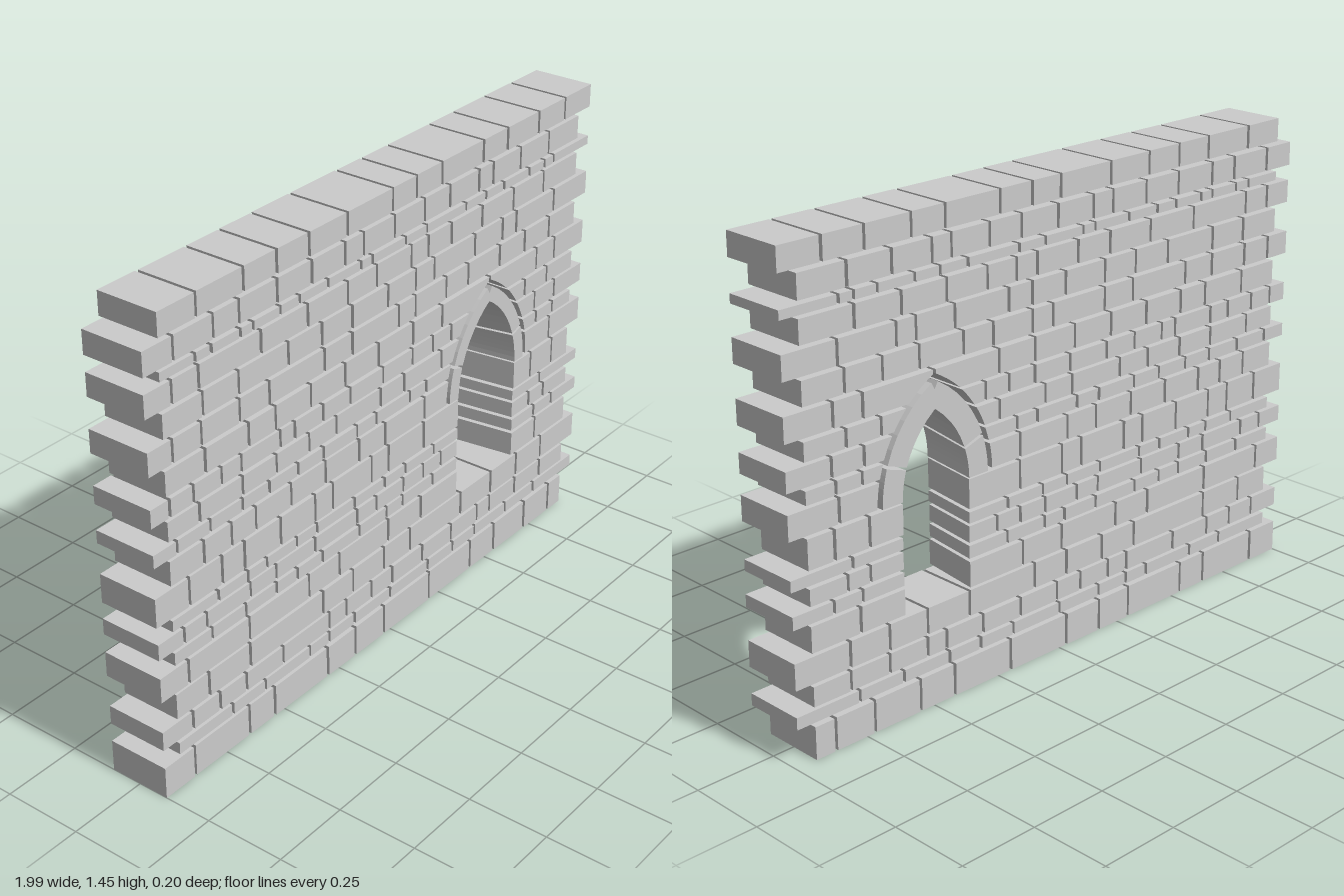
import * as THREE from 'three';

const material = new THREE.MeshStandardMaterial({ color: 0xcccccc, flatShading: true, side: THREE.DoubleSide });
const DEPTH = 0.2, GAP = 0.01;

// Pointed window: each half is an arc whose centre lies beyond the middle line
const WINDOW = { x: 0.48, sill: 0.315, spring: 0.655, top: 1.01, offset: 0.168 };
const R_OUTER = 0.361, R_CUT = 0.378;
const innerRadius = z => THREE.MathUtils.lerp(0.29, 0.316, z / DEPTH + 0.5); // reveal splays to the front

// Half width of the hole left in the stonework
function holeHalfWidth(y, z) {
  if (y < WINDOW.spring) return innerRadius(z) - WINDOW.offset;
  const dy = y - WINDOW.spring;
  return Math.max(0.004, Math.sqrt(Math.max(0, R_CUT ** 2 - dy ** 2)) - WINDOW.offset);
}

// Box whose vertices are moved by a rule
function shapedBox(name, w, h, d, segments, rule) {
  const geometry = new THREE.BoxGeometry(w, h, d, 1, segments, 1);
  const pos = geometry.attributes.position;
  const v = new THREE.Vector3();
  for (let i = 0; i < pos.count; i++) {
    rule(v.fromBufferAttribute(pos, i));
    pos.setXYZ(i, v.x, v.y, v.z);
  }
  geometry.computeVertexNormals();
  const mesh = new THREE.Mesh(geometry, material);
  mesh.name = name;
  return mesh;
}

// One stone, trimmed where it meets the window
function stone(x0, x1, y0, y1, depth) {
  const cx = (x0 + x1) / 2, cy = (y0 + y1) / 2;
  const atWindow = y0 > WINDOW.sill && y1 < WINDOW.top;
  return shapedBox('stone', x1 - x0, y1 - y0, depth, atWindow ? 6 : 1, v => {
    v.x += cx;
    v.y += cy;
    if (!atWindow) return;
    const half = holeHalfWidth(v.y, v.z);
    v.x = cx < WINDOW.x ? Math.min(v.x, WINDOW.x - half) : Math.max(v.x, WINDOW.x + half);
  });
}

// One course of stones between joints given in hundredths
function course(y0, y1, joints) {
  const group = new THREE.Group();
  group.name = 'course';
  const last = joints.length - 2;
  for (let i = 0; i <= last; i++) {
    const x0 = joints[i] / 100 + (i > 0 ? GAP / 2 : 0);
    const x1 = joints[i + 1] / 100 - (i < last ? GAP / 2 : 0);
    const depth = DEPTH - 0.003 * (1 + Math.sin(i * 7.3 + y0 * 91));
    // stones beside the window run up to its middle line before trimming
    group.add(stone(x0, x1, y0, y1, depth));
  }
  return group;
}

// One curved arch stone; side is +1 or -1, angles in degrees
function archStone(side, a0, a1) {
  return shapedBox('archStone', 1, 1, DEPTH, 6, v => {
    const angle = THREE.MathUtils.degToRad(THREE.MathUtils.lerp(a0, a1, v.y + 0.5));
    const r = THREE.MathUtils.lerp(innerRadius(v.z), R_OUTER, side * v.x + 0.5);
    v.x = WINDOW.x + side * (r * Math.cos(angle) - WINDOW.offset);
    v.y = WINDOW.spring + r * Math.sin(angle);
  });
}

export function createModel() {
  const model = new THREE.Group();
  model.name = 'stoneWall';

  // Courses below the window
  model.add(
    course(0, 0.1, [-100, -88, -65, -54, -30, -17, -3, 20, 42, 55, 72, 86, 93]),
    course(0.113, 0.15, [-94, -72, -58, -38, -29, -17, 0, 19, 32, 44, 61, 77, 99]),
    course(0.16, 0.22, [-100, -88, -77, -66, -50, -29, -21, -9, 1, 16, 31, 45, 52, 66, 80, 93]),
    course(0.23, 0.31, [-94, -81, -64, -32, -18, -3, 10, 36, 52, 66, 80, 99])
  );

  // Courses forming the jambs
  model.add(
    course(0.32, 0.398, [-100, -89, -64, -38, -24, -1, 15, 48, 76, 93]),
    course(0.408, 0.447, [-94, -79, -65, -52, -43, -32, -15, -2, 6, 21, 48, 75, 85, 99]),
    course(0.457, 0.507, [-100, -90, -81, -63, -52, -35, -16, -7, 6, 16, 25, 48, 72, 80, 93]),
    course(0.516, 0.55, [-94, -76, -64, -56, -43, -34, -17, -3, 7, 21, 48, 78, 99]),
    course(0.56, 0.65, [-100, -87, -74, -65, -50, -35, -27, -9, -1, 16, 48, 72, 84, 93])
  );

  // Courses cut around the arch
  model.add(
    course(0.66, 0.735, [-94, -81, -70, -60, -45, -30, -15, -3, 16, 48, 82, 99]),
    course(0.745, 0.785, [-100, -91, -78, -65, -54, -42, -31, -16, -7, 9, 17, 48, 74, 83, 93]),
    course(0.795, 0.855, [-94, -82, -65, -51, -37, -25, -5, 6, 24, 48, 73, 84, 99]),
    course(0.865, 0.92, [-100, -93, -84, -73, -65, -49, -43, -31, -19, -4, 10, 20, 29, 48, 67, 79, 93]),
    course(0.93, 1.004, [-94, -79, -62, -51, -36, -21, -6, 10, 24, 48, 73, 83, 99])
  );

  // Courses above the window
  model.add(
    course(1.016, 1.087, [-100, -91, -80, -65, -53, -30, -18, 3, 11, 26, 37, 53, 66, 79, 93]),
    course(1.098, 1.17, [-94, -79, -65, -45, -31, -18, -2, 11, 20, 40, 54, 61, 81, 99]),
    course(1.18, 1.25, [-100, -90, -80, -56, -37, -20, -7, 9, 17, 28, 43, 59, 75, 93]),
    course(1.26, 1.287, [-94, -81, -75, -64, -59, -48, -40, -28, -14, -9, 6, 16, 35, 45, 54, 67, 75, 80, 99]),
    course(1.298, 1.37, [-100, -89, -74, -64, -49, -35, -21, -13, 1, 15, 27, 41, 48, 62, 77, 93]),
    course(1.382, 1.453, [-94, -80, -62, -49, -36, -20, 0, 11, 23, 43, 55, 71, 85, 99])
  );

  // Pointed arch, two stones on each side meeting at the apex
  const arch = new THREE.Group();
  arch.name = 'windowArch';
  for (const side of [1, -1]) arch.add(archStone(side, 0, 18), archStone(side, 19.5, 60.2));
  model.add(arch);

  return model;
}
